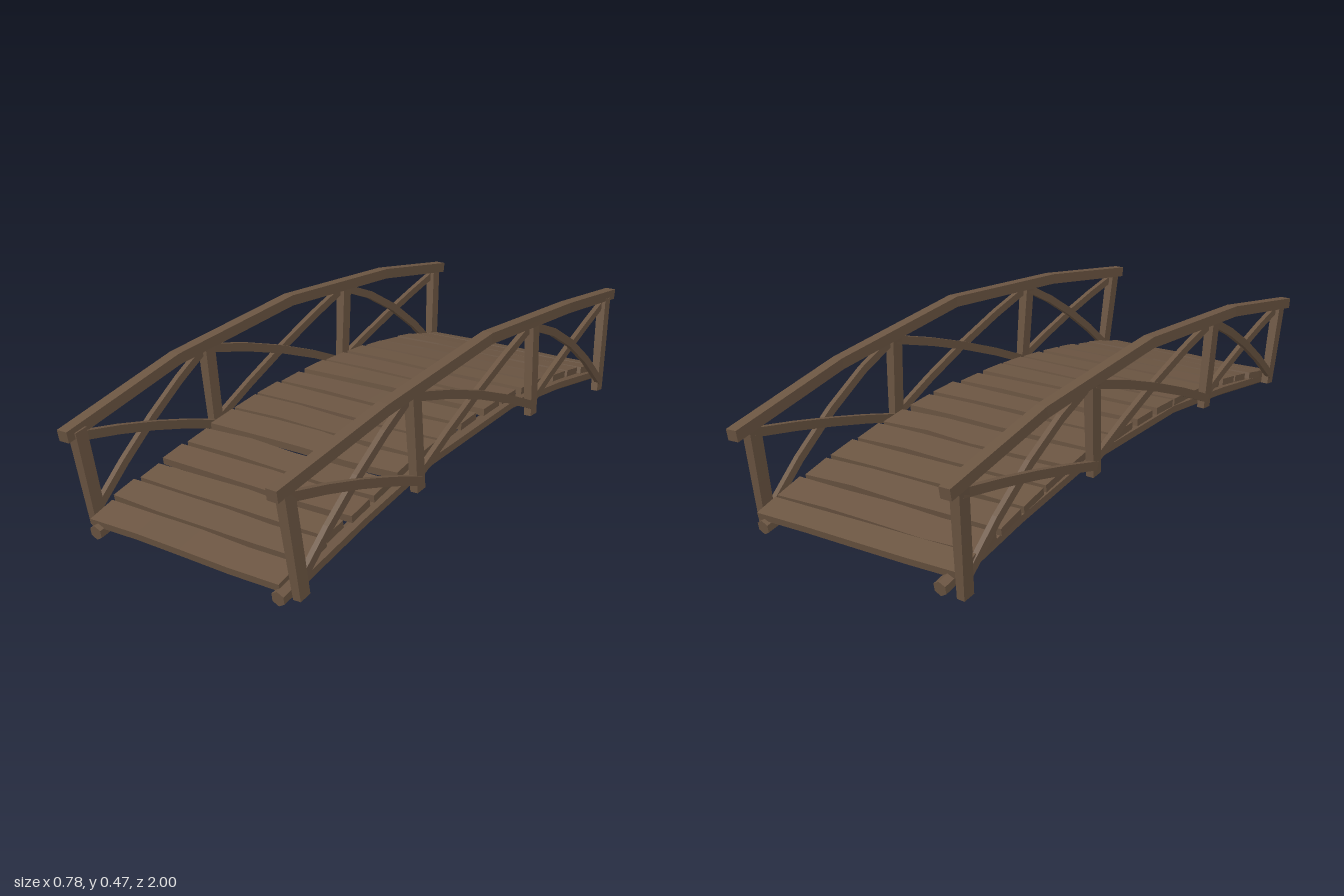
import * as THREE from 'three';

const wood = new THREE.MeshStandardMaterial({ color: 0x6b5542, flatShading: true });
wood.name = 'weathered brown wood';

const V = (p) => new THREE.Vector3(...p);
const rect = [[-1, -1], [1, -1], [1, 1], [-1, 1]];
const hexagon = Array.from({ length: 6 }, (_, i) => [
  1.1 * Math.cos((i + 0.5) * Math.PI / 3), 1.1 * Math.sin((i + 0.5) * Math.PI / 3)]);

// Small seeded generator for hand-cut irregularity, in -1..1
function makeJitter(seed) {
  return () => {
    seed = (seed * 16807) % 2147483647;
    return (seed / 2147483647) * 2 - 1;
  };
}

// Sweeps a cross-section along a path; "across" is the width direction
function beam(name, path, width, height, { section = rect, across = [1, 0, 0], scales = [] } = {}) {
  const pts = path.map(V), n = section.length, pos = [], index = [];
  pts.forEach((p, k) => {
    const t = pts[Math.min(k + 1, pts.length - 1)].clone().sub(pts[Math.max(k - 1, 0)]).normalize();
    const b = t.clone().cross(V(across)).normalize();
    const a = b.clone().cross(t);
    const s = scales[k] ?? 1;
    for (const [u, v] of section) {
      const q = p.clone().addScaledVector(a, u * s * width / 2).addScaledVector(b, v * height / 2);
      pos.push(q.x, q.y, q.z);
    }
  });
  for (let k = 0; k < pts.length - 1; k++) {
    for (let i = 0; i < n; i++) {
      const j = (i + 1) % n, c = k * n, d = c + n;
      index.push(c + i, c + j, d + j, c + i, d + j, d + i);
    }
  }
  const last = (pts.length - 1) * n;
  for (let i = 1; i < n - 1; i++) {
    index.push(0, i + 1, i, last, last + i, last + i + 1);
  }
  const indexed = new THREE.BufferGeometry();
  indexed.setAttribute('position', new THREE.Float32BufferAttribute(pos, 3));
  indexed.setIndex(index);
  const geometry = indexed.toNonIndexed();
  geometry.computeVertexNormals();
  const mesh = new THREE.Mesh(geometry, wood);
  mesh.name = name;
  return mesh;
}

// Brace between two points, bowed upwards in the middle
function brace(from, to, bow, shift) {
  const path = [];
  for (let i = 0; i <= 4; i++) {
    const t = i / 4;
    const p = V(from).lerp(V(to), t);
    path.push([p.x + shift, p.y + bow * 4 * t * (1 - t), p.z]);
  }
  return beam('crossBrace', path, 0.016, 0.026);
}

// Each side: rail path, posts as [top, bottom], and stringer end positions
const sides = [
  {
    name: 'rightRailing',
    rail: [[-0.335, 0.338, 0.995], [-0.35, 0.415, 0.54], [-0.355, 0.447, 0], [-0.36, 0.4, -0.55], [-0.372, 0.322, -0.965]],
    posts: [
      [[-0.33, 0.345, 0.95], [-0.32, 0.06, 0.91]],
      [[-0.352, 0.425, 0.405], [-0.342, 0.13, 0.385]],
      [[-0.358, 0.425, -0.31], [-0.345, 0.125, -0.275]],
      [[-0.37, 0.325, -0.91], [-0.35, 0.005, -0.87]],
    ],
    stringerX: [-0.277, -0.318],
  },
  {
    name: 'leftRailing',
    rail: [[0.355, 0.355, 0.995], [0.365, 0.42, 0.54], [0.368, 0.458, 0], [0.352, 0.4, -0.55], [0.315, 0.326, -0.995]],
    posts: [
      [[0.357, 0.355, 0.95], [0.37, 0.05, 0.91]],
      [[0.367, 0.43, 0.405], [0.376, 0.13, 0.385]],
      [[0.36, 0.425, -0.3], [0.372, 0.12, -0.29]],
      [[0.325, 0.33, -0.92], [0.34, 0.005, -0.87]],
    ],
    stringerX: [0.339, 0.297],
  },
];

// Arched beam under the deck, as [z, y]
const stringerArc = [[0.965, 0.06], [0.6, 0.115], [0.25, 0.155], [-0.25, 0.155], [-0.6, 0.105], [-0.93, 0.042]];

const plankZ = [-0.875, -0.785, -0.68, -0.57, -0.46, -0.345, -0.22, -0.1, 0.03,
  0.15, 0.265, 0.38, 0.505, 0.61, 0.715, 0.81, 0.91];

export function createModel() {
  const model = new THREE.Group();
  model.name = 'archedFootbridge';

  // Railings: handrail, posts and crossed braces in three bays
  for (const side of sides) {
    const railing = new THREE.Group();
    railing.name = side.name;
    railing.add(beam('handrail', side.rail, 0.034, 0.034));
    for (const post of side.posts) {
      const [top, bottom] = post;
      const mid = V(top).lerp(V(bottom), 0.5).toArray();
      railing.add(beam('post', [bottom, mid, top], 0.028, 0.04, { scales: [0.85, 1, 1.1] }));
    }
    const bows = [[0.012, 0.025], [0.02, 0.015], [0.045, 0.008]];
    bows.forEach(([fall, rise], i) => {
      const at = (post, t) => V(side.posts[post][0]).lerp(V(side.posts[post][1]), t).toArray();
      railing.add(brace(at(i, 0.06), at(i + 1, 0.9), fall, 0.007));
      railing.add(brace(at(i, 0.9), at(i + 1, 0.06), rise, -0.007));
    });
    model.add(railing);

    // Stringer
    const [front, back] = side.stringerX;
    const path = stringerArc.map(([z, y]) => [
      THREE.MathUtils.mapLinear(z, 0.965, -0.93, front, back), y, z]);
    model.add(beam('stringer', path, 0.038, 0.04, { section: hexagon }));
  }

  // Deck planks: slightly wavy, following the arch and skewing towards the back
  const deck = new THREE.Group();
  deck.name = 'deck';
  const jitter = makeJitter(41);
  plankZ.forEach((z, i) => {
    const back = (0.91 - z) / 1.785;
    const curve = z > 0 ? 0.125 : 0.15;
    const y = 0.195 - curve * z * z;
    const left = -0.31 - 0.035 * back + 0.006 * jitter();
    const right = 0.338 - 0.015 * back + 0.005 * jitter();
    const gap = i < plankZ.length - 1 ? plankZ[i + 1] - z : 0.1;
    const width = Math.min(gap - 0.012, 0.103);
    const path = [], scales = [];
    for (let k = 0; k <= 4; k++) {
      const x = THREE.MathUtils.lerp(left, right, k / 4);
      const wave = 0.004 * Math.sin(k * 1.57 + 3.1);
      path.push([x, y + 0.002 * jitter(), z - 0.045 * back * x + wave + 0.002 * jitter()]);
      scales.push(0.97 + 0.07 * jitter());
    }
    deck.add(beam('plank', path, width, 0.022, { across: [0, -2 * curve * z, 1], scales }));
  });
  model.add(deck);

  return model;
}
